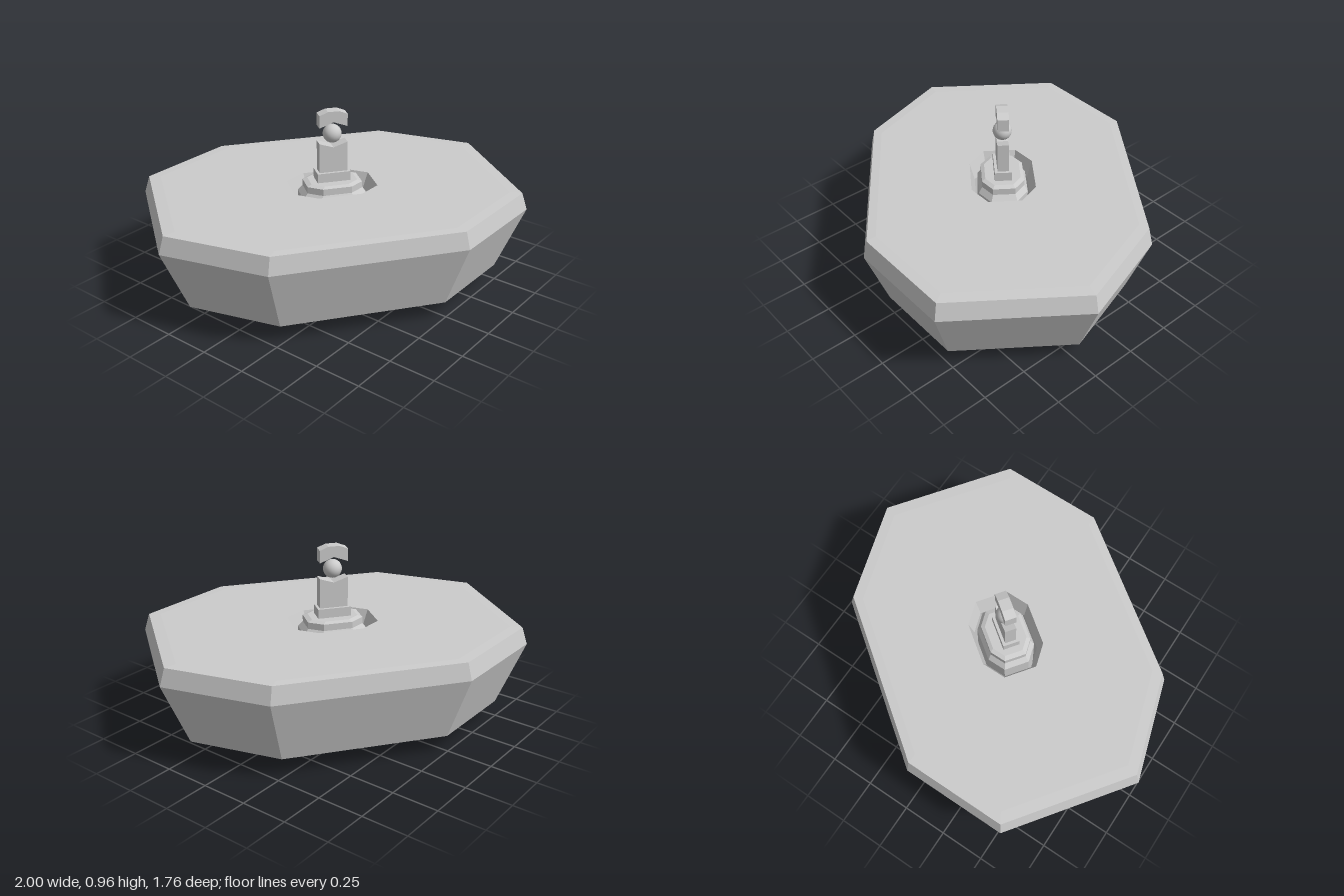
import * as THREE from 'three';

const material = new THREE.MeshStandardMaterial({ color: 0xcccccc, flatShading: true });
const smooth = new THREE.MeshStandardMaterial({ color: 0xcccccc });

// Rectangle with cut corners, in unit scale (x, z)
const OCTAGON = [
  [0.966, -0.378], [0.966, 0.378], [0.5, 0.722], [-0.5, 0.722],
  [-0.966, 0.378], [-0.966, -0.378], [-0.5, -0.722], [0.5, -0.722],
];

// Sweep the octagon through a profile of [scale, y] steps
function loftOctagon(profile) {
  const positions = [];
  const point = ([s, y], i) => {
    const [x, z] = OCTAGON[i % 8];
    return [x * s, y, z * s];
  };
  for (let k = 0; k < profile.length - 1; k++) {
    const a = profile[k], b = profile[k + 1];
    for (let i = 0; i < 8; i++) {
      if (b[0] > 0) positions.push(...point(a, i), ...point(b, i), ...point(b, i + 1));
      if (a[0] > 0) positions.push(...point(a, i), ...point(b, i + 1), ...point(a, i + 1));
    }
  }
  const geometry = new THREE.BufferGeometry();
  geometry.setAttribute('position', new THREE.Float32BufferAttribute(positions, 3));
  geometry.computeVertexNormals();
  return geometry;
}

// Extrude an x-y outline, centred on z
function slab(outline, depth) {
  const shape = new THREE.Shape(outline.map(([x, y]) => new THREE.Vector2(x, y)));
  return new THREE.ExtrudeGeometry(shape, { depth, bevelEnabled: false }).translate(0, 0, -depth / 2);
}

export function createModel() {
  const model = new THREE.Group();
  model.name = 'model';
  model.rotation.y = -THREE.MathUtils.degToRad(36.5);

  const add = (name, geometry, mat = material) => {
    const mesh = new THREE.Mesh(geometry, mat);
    mesh.name = name;
    model.add(mesh);
    return mesh;
  };

  // Broad tapered body with a hole through the middle
  add('body', loftOctagon([
    [0.2, 0.1], [0.86, 0.1], [1, 0.445], [0.972, 0.538], [0.91, 0.541],
    [0.235, 0.546], [0.2, 0.45], [0.2, 0.1],
  ]));

  // Stem standing in the hole, clear of its walls
  add('stem', loftOctagon([[0, 0], [0.18, 0], [0.18, 0.5], [0.155, 0.53], [0, 0.53]]));

  // Stepped plate on the stem
  add('plate', loftOctagon([[0, 0.53], [0.155, 0.53], [0.155, 0.566], [0.13, 0.575], [0, 0.575]]));

  add('collar', new THREE.BoxGeometry(0.18, 0.055, 0.09).translate(0, 0.5985, 0));

  // Post with a notched top that cradles the ball
  add('post', slab([
    [-0.076, 0.6], [0.076, 0.6], [0.076, 0.79], [0, 0.765], [-0.076, 0.79],
  ], 0.06));

  add('ball', new THREE.SphereGeometry(0.05, 20, 14).translate(0, 0.834, 0), smooth);

  // Cap with a peaked top and a notch underneath
  add('cap', slab([
    [-0.076, 0.877], [0, 0.905], [0.076, 0.877], [0.076, 0.945],
    [0.03, 0.963], [-0.03, 0.963], [-0.076, 0.945],
  ], 0.06));

  const root = new THREE.Group();
  root.add(model);
  return root;
}
